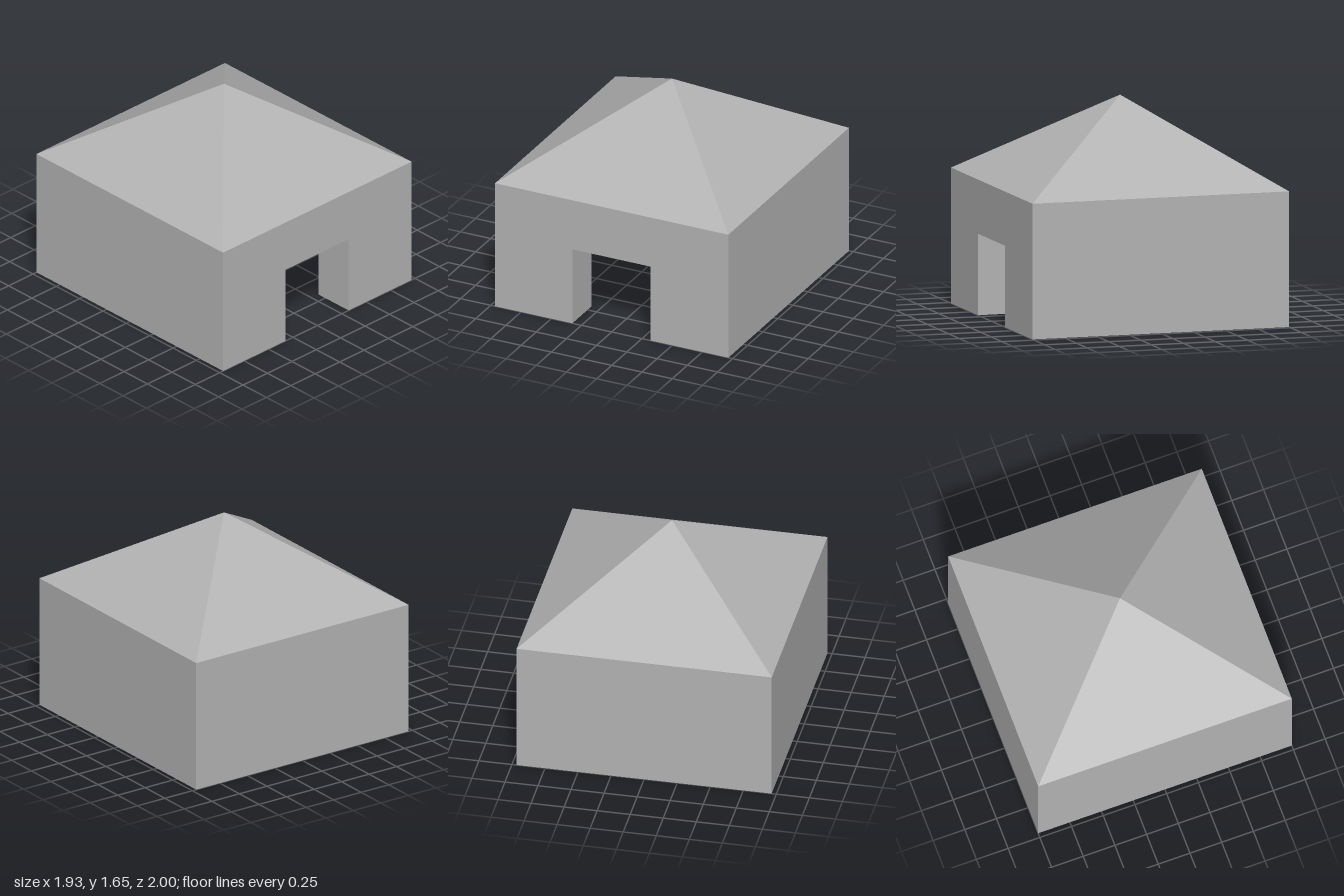
import * as THREE from 'three';

const W = 0.965, D = 1, EAVE = 1.015, TOP = 1.65, T = 0.01;
const DOOR = { left: -0.325, right: 0.32, height: 0.61, depth: 0.32 };

export function createModel() {
  const group = new THREE.Group();
  const grey = new THREE.MeshStandardMaterial({ color: 0xb2b2b2 });
  grey.name = 'plain grey';
  grey.flatShading = true;
  grey.side = THREE.DoubleSide;

  const add = (name, geometry, x, y, z) => {
    const mesh = new THREE.Mesh(geometry, grey);
    mesh.name = name;
    mesh.position.set(x, y, z);
    group.add(mesh);
    return mesh;
  };
  const box = (name, w, h, d, x, y, z) => add(name, new THREE.BoxGeometry(w, h, d), x, y, z);

  // Thin side and back walls, open underneath
  for (const [name, s] of [['leftWall', 1], ['rightWall', -1]]) {
    box(name, T, EAVE, 2 * D, s * (W - T / 2), EAVE / 2, 0);
  }
  box('backWall', 2 * (W - T), EAVE, T, 0, EAVE / 2, -D + T / 2);

  // Front wall with the doorway cut up from the ground
  const outline = [
    [-W + T, 0], [DOOR.left, 0], [DOOR.left, DOOR.height], [DOOR.right, DOOR.height],
    [DOOR.right, 0], [W - T, 0], [W - T, EAVE], [-W + T, EAVE],
  ].map(([x, y]) => new THREE.Vector2(x, y));
  const front = new THREE.ExtrudeGeometry(new THREE.Shape(outline), { depth: T, bevelEnabled: false });
  add('frontWall', front, 0, 0, D - T);

  // Door panels reaching inward from both sides of the doorway
  const jambZ = D - T - (DOOR.depth - T) / 2;
  box('doorPanelRight', T, DOOR.height, DOOR.depth - T, DOOR.left - T / 2, DOOR.height / 2, jambZ);
  box('doorPanelLeft', T, DOOR.height, DOOR.depth - T, DOOR.right + T / 2, DOOR.height / 2, jambZ);

  // Hollow four-sided hip roof, flush with the walls
  const rise = TOP - EAVE;
  const roof = new THREE.ConeGeometry(Math.SQRT2, rise, 4, 1, true);
  roof.rotateY(Math.PI / 4);
  roof.scale(W, 1, D);
  add('roof', roof, 0, EAVE + rise / 2, 0);

  return group;
}
